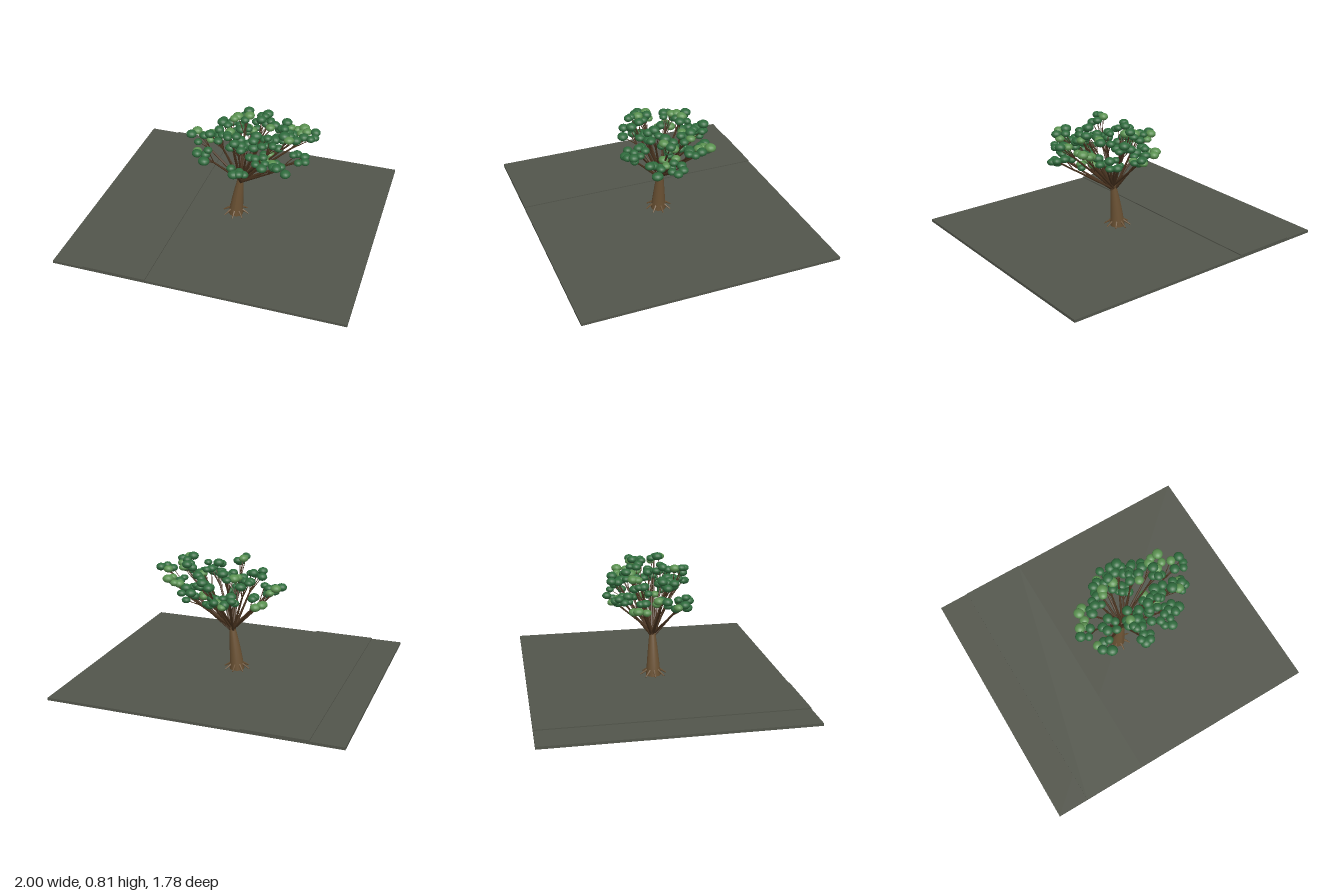
import * as THREE from 'three';

const mat = (name, color, extra) => {
  const m = new THREE.MeshStandardMaterial({ color });
  m.name = name;
  return m;
};

// Small seeded generator for natural variation, returning -1..1
function makeRandom(seed) {
  return () => {
    seed = (seed * 16807) % 2147483647;
    return (seed / 2147483647) * 2 - 1;
  };
}

export function createModel() {
  const root = new THREE.Group();
  root.name = 'treeOnGround';
  const ground = mat('ground grey green', 0x52554b);
  const bark = mat('bark brown', 0x6a5133);
  const branchBark = mat('branch dark brown', 0x49331f);
  const darkLeaf = mat('leaf dark green', 0x2f6b3d);
  const lightLeaf = mat('leaf light green', 0x5a9150);
  const rand = makeRandom(4711);

  const add = (parent, name, geometry, material) => {
    const mesh = new THREE.Mesh(geometry, material);
    mesh.name = name;
    parent.add(mesh);
    return mesh;
  };
  const group = (name) => {
    const g = new THREE.Group();
    g.name = name;
    root.add(g);
    return g;
  };
  // Tapered rod between two points
  const rod = (parent, name, a, b, r0, r1, material, sides = 7) => {
    const dir = b.clone().sub(a);
    const mesh = add(parent, name, new THREE.CylinderGeometry(r1, r0, dir.length(), sides), material);
    mesh.position.copy(a).add(b).multiplyScalar(0.5);
    mesh.quaternion.setFromUnitVectors(new THREE.Vector3(0, 1, 0), dir.normalize());
  };

  // Ground slab with a slightly raised strip
  add(root, 'groundSlab', new THREE.BoxGeometry(2, 0.018, 1.784), ground).position.y = 0.009;
  add(root, 'raisedStrip', new THREE.BoxGeometry(0.44, 0.008, 1.784), ground).position.set(-0.56, 0.021, 0);

  // Trunk: a tapering cylinder leaning toward +x
  const base = 0.016, height = 0.315;
  const trunk = new THREE.CylinderGeometry(1, 1, 1, 16, 8);
  const p = trunk.attributes.position;
  for (let i = 0; i < p.count; i++) {
    const t = p.getY(i) + 0.5;
    const r = 0.052 - 0.024 * t - 0.008 * t * t;
    p.setXYZ(i, p.getX(i) * r + 0.036 * Math.pow(t, 1.3), base + t * height, p.getZ(i) * r);
  }
  trunk.computeVertexNormals();
  add(root, 'trunk', trunk, bark);

  // Roots flaring out around the foot
  const roots = group('roots');
  for (let i = 0; i < 8; i++) {
    const a = (i / 8) * Math.PI * 2;
    const at = (r, y) => new THREE.Vector3(Math.cos(a) * r, y, Math.sin(a) * r);
    rod(roots, 'root', at(0.036, 0.062), at(0.092, 0.026), 0.009, 0.004, bark);
  }

  // Branch tips: x, y, z, share of light leaves
  const tips = [
    [-0.26, 0.62, 0.01, 0.5], [-0.18, 0.57, -0.11, 0.4], [-0.19, 0.58, 0.15, 0.6],
    [-0.11, 0.70, 0.08, 0.2], [-0.10, 0.70, -0.10, 0.2], [-0.03, 0.60, -0.22, 0],
    [0.03, 0.58, -0.27, 0.5], [0.02, 0.75, -0.16, 0.4], [0.14, 0.70, -0.24, 0],
    [0.27, 0.61, -0.22, 0.3], [0.19, 0.74, -0.12, 0.3], [0.39, 0.67, -0.17, 0.6],
    [0.34, 0.75, -0.06, 0.3], [0.51, 0.75, -0.05, 0.2], [0.46, 0.60, 0.05, 0.1],
    [0.41, 0.76, 0.08, 0.6], [0.29, 0.68, 0.04, 0.1], [0.34, 0.56, 0.15, 0.2],
    [0.20, 0.73, 0.11, 0.1], [0.23, 0.64, 0.23, 0.1], [0.08, 0.54, 0.24, 0],
    [0.12, 0.66, 0.14, 0.6], [0.03, 0.76, 0.19, 0.1], [0.04, 0.66, 0.10, 0],
    [0.13, 0.54, -0.14, 0], [0.24, 0.54, 0.02, 0.2],
  ];
  const branches = group('branches');
  const foliage = group('foliage');
  const leafShape = new THREE.SphereGeometry(1, 14, 10);
  tips.forEach(([x, y, z, light], i) => {
    const start = new THREE.Vector3(0.036 + 0.01 * rand(), 0.31 + 0.02 * rand(), 0.01 * rand());
    const tip = new THREE.Vector3(x, y - 0.02, z);
    const fork = start.clone().lerp(tip, 0.72);
    rod(branches, 'branch', start, fork, 0.011, 0.006, branchBark);
    rod(branches, 'branchTip', fork, tip, 0.006, 0.003, branchBark);

    // Flattened leaf tufts spread round each tip, some fed by a twig
    const turn = rand() * Math.PI;
    for (let k = 0; k < 5; k++) {
      const a = turn + (k / 5) * Math.PI * 2 + 0.3 * rand();
      const d = 0.042 + 0.015 * rand();
      const tuft = add(foliage, 'leafTuft', leafShape, (rand() + 1) / 2 < light ? lightLeaf : darkLeaf);
      tuft.position.set(x + Math.cos(a) * d, y + 0.03 * rand(), z + Math.sin(a) * d);
      const s = 0.033 + 0.005 * rand();
      tuft.scale.set(s, s * 0.74, s * (1 + 0.1 * rand()));
      tuft.rotation.y = a;
      if (k % 2 === 0) rod(branches, 'twig', fork, tuft.position, 0.004, 0.002, branchBark, 5);
    }
  });

  return root;
}
